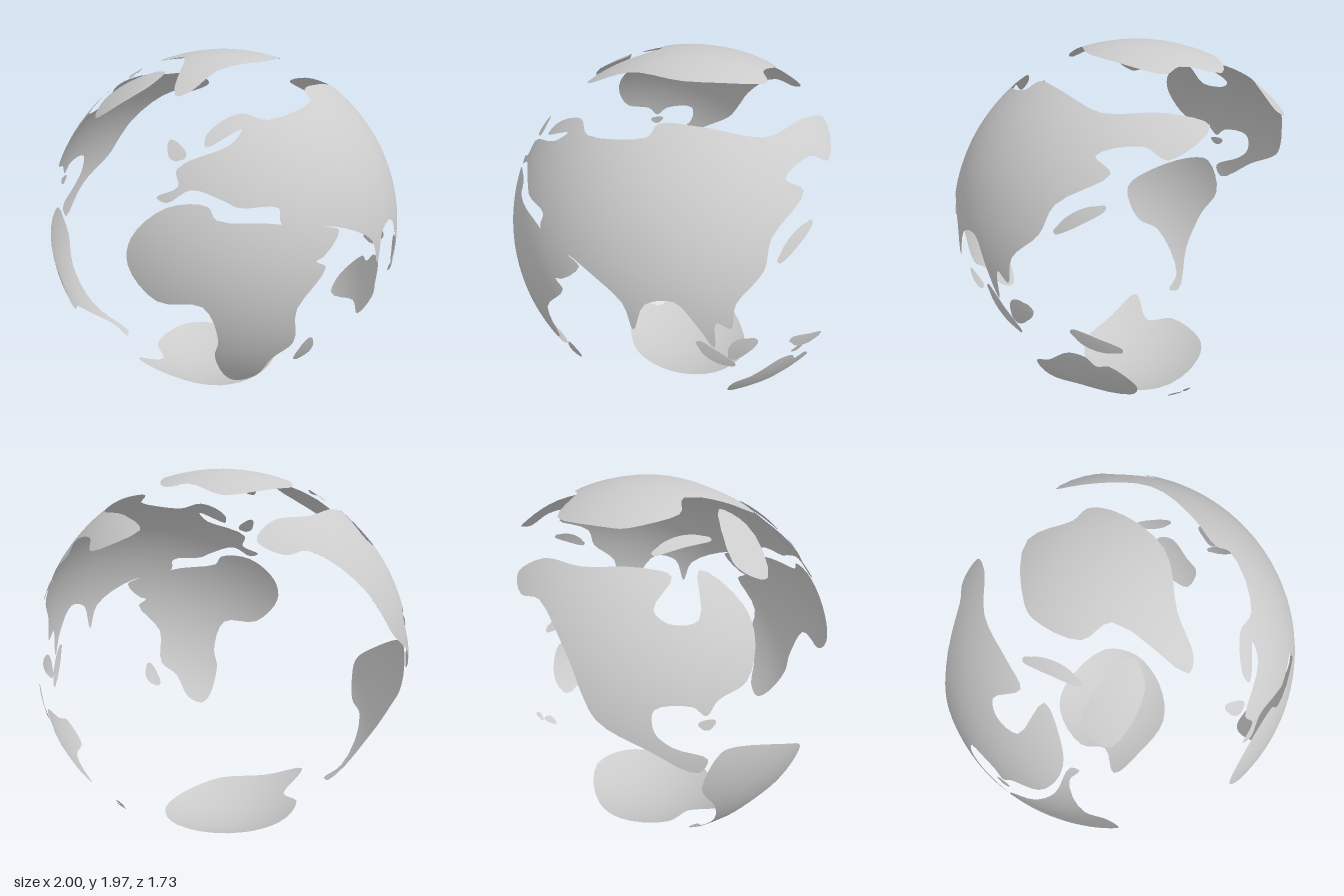
import * as THREE from 'three';

// Slightly flattened globe carrying thin land shells, open where the seas are
const CENTER = new THREE.Vector3(0, 0.983, -0.137);
const RADII = new THREE.Vector3(1, 0.983, 1);
const material = new THREE.MeshStandardMaterial({ color: 0xcccccc, side: THREE.DoubleSide });

// Lift flat coordinates, such as ('xy', x, y), onto the unit sphere; sign picks the hemisphere
function lift(plane, sign, a, b) {
  const [k1, k2] = plane;
  const k3 = ['x', 'y', 'z'].find((k) => !plane.includes(k));
  const v = new THREE.Vector3();
  v[k1] = (a - CENTER[k1]) / RADII[k1];
  v[k2] = (b - CENTER[k2]) / RADII[k2];
  v[k3] = sign * Math.sqrt(Math.max(0, 1 - v[k1] ** 2 - v[k2] ** 2));
  return v.normalize();
}

// A run of coast points
function run(plane, sign, c) {
  return Array.from({ length: c.length / 2 }, (_, i) => lift(plane, sign, c[2 * i], c[2 * i + 1]));
}

// A small oval island with a slightly wavy shore
function oval(plane, sign, a, b, length, width, tilt) {
  return Array.from({ length: 12 }, (_, i) => {
    const t = (i / 12) * Math.PI * 2;
    const wave = 1 + 0.12 * Math.sin(3 * t);
    const p = length * wave * Math.cos(t), q = width * wave * Math.sin(t);
    return lift(plane, sign, a + p * Math.cos(tilt) - q * Math.sin(tilt), b + p * Math.sin(tilt) + q * Math.cos(tilt));
  });
}

// Fill a smooth closed coast: flatten about its middle, triangulate, then split and round onto the globe
function landGeometry(points) {
  const curve = new THREE.CatmullRomCurve3(points, true, 'centripetal');
  const n = points.length * 4;
  const coast = Array.from({ length: n }, (_, i) => curve.getPoint(i / n).normalize());
  const mid = coast.reduce((s, p) => s.add(p), new THREE.Vector3()).normalize();
  const u = new THREE.Vector3(0, 1, 0.01).cross(mid).normalize();
  const v = mid.clone().cross(u);
  const flat = coast.map((p) => new THREE.Vector2(p.dot(u), p.dot(v)).divideScalar(p.dot(mid)));
  if (THREE.ShapeUtils.isClockWise(flat)) {
    coast.reverse();
    flat.reverse();
  }

  const positions = [], normals = [];
  const emit = (a, b, c) => {
    const ab = a.distanceTo(b), bc = b.distanceTo(c), ca = c.distanceTo(a);
    if (Math.max(ab, bc, ca) > 0.1) {
      // Turn the triangle so its longest edge comes first, then halve that edge
      const [p, q, r] = ab >= bc && ab >= ca ? [a, b, c] : bc >= ca ? [b, c, a] : [c, a, b];
      const m = p.clone().add(q).normalize();
      emit(p, m, r);
      emit(m, q, r);
      return;
    }
    for (const p of [a, b, c]) {
      positions.push(...p.clone().multiply(RADII).add(CENTER).toArray());
      normals.push(...p.clone().divide(RADII).normalize().toArray());
    }
  };
  for (const [a, b, c] of THREE.ShapeUtils.triangulateShape(flat, [])) emit(coast[a], coast[b], coast[c]);

  const geometry = new THREE.BufferGeometry();
  geometry.setAttribute('position', new THREE.Float32BufferAttribute(positions, 3));
  geometry.setAttribute('normal', new THREE.Float32BufferAttribute(normals, 3));
  return geometry;
}

export function createModel() {
  const globe = new THREE.Group();
  globe.name = 'globe';
  const addLand = (name, ...runs) => {
    const land = new THREE.Mesh(landGeometry(runs.flat()), material);
    land.name = name;
    globe.add(land);
  };

  // Continents
  addLand('africa', run('xy', 1, [0.4, 1.26, 0.49, 1.11, 0.54, 1.07, 0.41, 0.88, 0.4, 0.67, 0.3, 0.58, 0.22, 0.44,
    0.13, 0.4, 0.08, 0.43, 0.02, 0.62, 0.04, 0.73, -0.03, 0.92, -0.25, 0.93, -0.39, 1.09, -0.37, 1.22, -0.2, 1.37,
    -0.01, 1.385, 0.03, 1.33, 0.32, 1.3]));
  addLand('eurasia',
    run('xy', 1, [0.32, 1.31, 0.31, 1.37, 0.13, 1.38, 0.06, 1.41, -0.09, 1.45, -0.2, 1.39, -0.25, 1.41, -0.15, 1.46,
      -0.16, 1.53, 0.08, 1.63, 0.13, 1.69, -0.03, 1.62, -0.03, 1.67, 0.12, 1.75, 0.25, 1.72, 0.46, 1.77]),
    run('xz', 1, [0.43, 0.18, 0.51, 0.02, 0.6, -0.27, 0.47, -0.53, 0.38, -0.7, 0.62, -0.61, 0.64, -0.5]),
    run('zy', 1, [-0.32, 1.61, -0.41, 1.55, -0.2, 1.41, -0.15, 1.28, -0.01, 1.14, 0.01, 1.01, 0.08, 1.05, 0.08, 0.9,
      0.16, 1.03, 0.26, 1.16, 0.38, 1.13, 0.43, 0.98, 0.47, 1.12, 0.63, 1.25]),
    run('xy', 1, [0.53, 1.26, 0.6, 1.23, 0.49, 1.11]));
  addLand('northAmerica',
    run('xz', 1, [-0.14, -0.84, -0.26, -0.86, -0.37, -0.8, -0.64, -0.75]),
    run('zy', -1, [-0.73, 1.32, -0.69, 1.21, -0.5, 1.08, -0.28, 0.93, -0.24, 1, -0.4, 1.09, -0.47, 1.17, -0.46, 1.27,
      -0.3, 1.27, -0.24, 1.22, -0.18, 1.28]),
    run('xz', 1, [-0.93, -0.03, -0.84, 0.05, -0.75, 0.03, -0.62, -0.13, -0.78, -0.2, -0.76, -0.33, -0.7, -0.38,
      -0.62, -0.26, -0.54, -0.38, -0.4, -0.6, -0.21, -0.73]));
  addLand('southAmerica', run('zy', -1, [-0.09, 1.03, 0.19, 0.92, 0.35, 0.79, 0.32, 0.66, 0.24, 0.56, 0.11, 0.51,
    -0.11, 0.28, -0.1, 0.2, -0.16, 0.21, -0.12, 0.43, -0.17, 0.65, -0.26, 0.82, -0.18, 1.02]));
  addLand('antarctica', run('xz', -1, [0.33, -0.2, 0.22, 0.05, 0, 0.2, -0.28, 0.17, -0.5, 0.1, -0.37, -0.05,
    -0.43, -0.2, -0.3, -0.45, -0.12, -0.52, 0.25, -0.42]));
  addLand('australia', run('zy', 1, [-0.06, 0.55, -0.15, 0.6, -0.28, 0.7, -0.36, 0.69, -0.4, 0.63, -0.46, 0.64,
    -0.54, 0.47, -0.48, 0.36, -0.26, 0.42, -0.08, 0.42]));

  // Arctic lands
  addLand('arcticCap', run('xz', 1, [-0.2, 0.37, -0.13, 0.36, 0, 0.2, 0.24, 0, 0.31, -0.32, 0.27, -0.43, 0.17, -0.45,
    0, -0.6, -0.29, -0.43, -0.34, -0.35, -0.33, -0.1, -0.2, -0.02]));
  addLand('northernIsland', run('xz', 1, [-0.65, 0.15, -0.6, 0.05, -0.28, 0.13, -0.36, 0.24, -0.63, 0.22]));
  addLand('arcticIsland', oval('xz', 1, -0.49, -0.16, 0.15, 0.03, 1.5));

  // Smaller islands
  addLand('largeSouthernIsland', oval('xy', 1, 0.46, 0.6, 0.08, 0.035, 1.1));
  addLand('atlanticIsland', oval('xy', 1, -0.17, 1.6, 0.05, 0.035, -0.6));
  addLand('easternIsland', oval('zy', 1, -0.32, 1.37, 0.12, 0.03, 2.6));
  addLand('gulfIsland', oval('zy', -1, -0.24, 1.18, 0.04, 0.025, 0));
  addLand('longTropicIsland', oval('zy', 1, 0.07, 0.84, 0.14, 0.03, 0.8));
  addLand('roundTropicIsland', oval('zy', 1, -0.05, 0.875, 0.08, 0.06, 2.4));
  addLand('equatorIsland', oval('zy', 1, -0.42, 0.79, 0.12, 0.04, 0.4));
  addLand('southIsland', oval('zy', 1, -0.64, 0.305, 0.045, 0.013, 2.5));
  addLand('southIslet', oval('zy', 1, -0.705, 0.355, 0.03, 0.01, 2.2));
  return globe;
}
